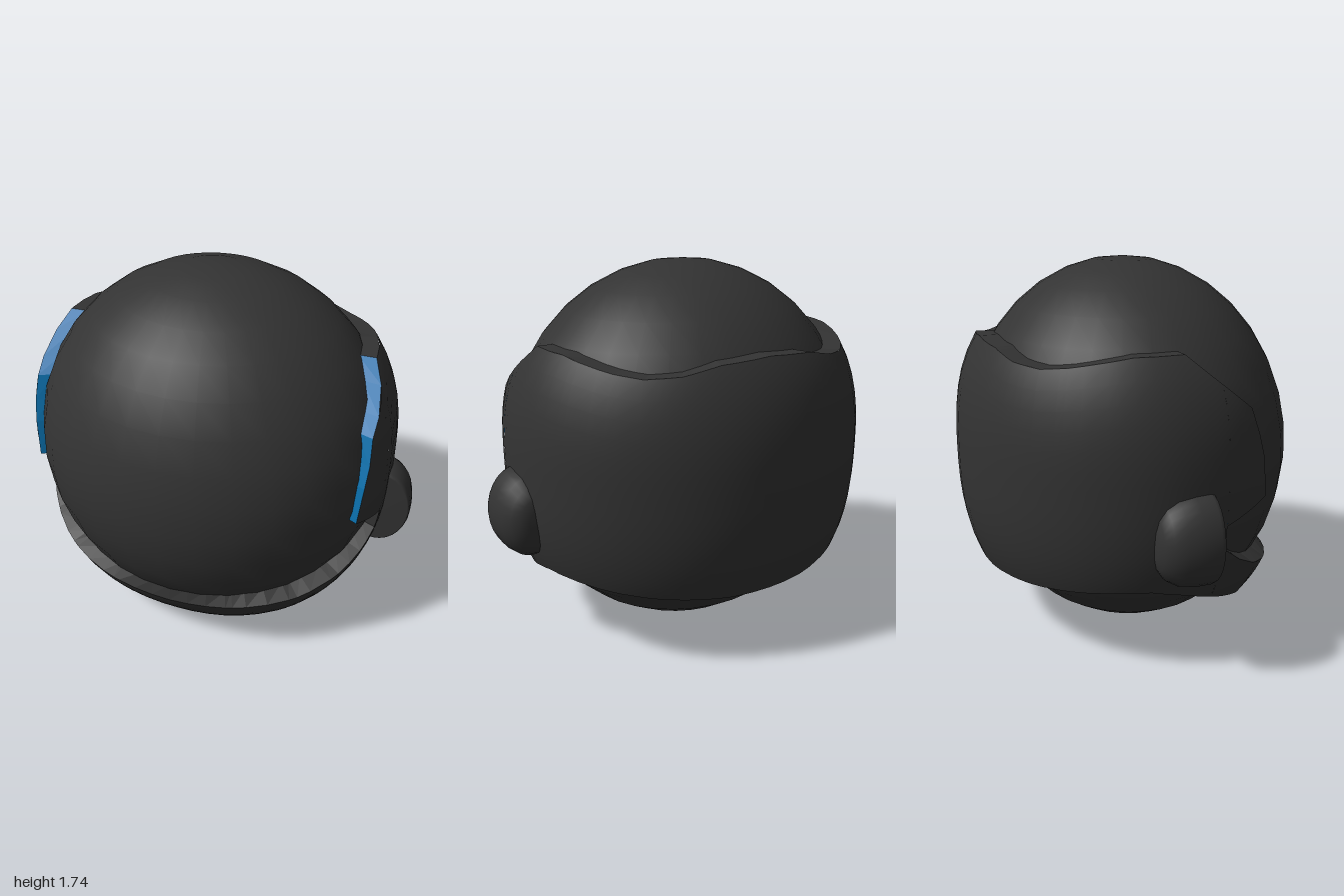
import * as THREE from 'three';

const dark = new THREE.MeshStandardMaterial({ color: 0x333333 });
dark.name = 'charcoal';
const darkThin = new THREE.MeshStandardMaterial({ color: 0x333333, side: THREE.DoubleSide });
darkThin.name = 'charcoal rim';
const blue = new THREE.MeshStandardMaterial({ color: 0x0a6fab, side: THREE.DoubleSide });
blue.name = 'blue trim';

// Outline heights as [angle from the front in degrees, y]
const TOP = [[63.7, 0.77], [65.5, 0.95], [69.8, 1.17], [89, 1.4], [105, 1.395], [125, 1.35], [135, 1.335], [147, 1.345], [160, 1.38], [180, 1.395]];
const BOTTOM = [[0, 0.14], [30, 0.155], [60, 0.23], [75, 0.3], [90, 0.375], [100, 0.412], [110, 0.41], [140, 0.37], [165, 0.345], [180, 0.345]];
const CHIN = [[0, 0.305], [25, 0.325], [48, 0.365], [63, 0.43], [72, 0.5], [79, 0.58]];
const WING = [[63.7, 0.77], [79, 0.69]];
const NOTCH = 79;

const fold = (deg) => (deg > 180 ? 360 - deg : Math.abs(deg));
const along = (table) => (deg) => {
  const a = fold(deg);
  for (let i = 1; i < table.length; i++) {
    const [a0, y0] = table[i - 1], [a1, y1] = table[i];
    if (a <= a1) return y0 + (y1 - y0) * Math.max(0, (a - a0) / (a1 - a0));
  }
  return table[table.length - 1][1];
};
const top = along(TOP), bottom = along(BOTTOM), chin = along(CHIN), wing = along(WING);

// Point on a rounded body, by angle and height
function ring(deg, y, scale, rx, rz, n) {
  const t = THREE.MathUtils.degToRad(deg), s = Math.sin(t), c = Math.cos(t);
  const r = scale / Math.pow(Math.pow(Math.abs(s) / rx, n) + Math.pow(Math.abs(c) / rz, n), 1 / n);
  return new THREE.Vector3(r * s, y, r * c);
}
const isFront = (deg) => fold(deg) < 90;
function outer(deg, y) {
  const t = Math.abs(y - 0.85) / (y > 0.85 ? 0.88 : 0.97);
  return ring(deg, y, Math.sqrt(1 - Math.pow(t, 2.6)), 0.885, isFront(deg) ? 0.775 : 0.79, isFront(deg) ? 2.2 : 2);
}
function inner(deg, y) {
  const t = (y - 0.85) / 0.885;
  return ring(deg, y, 0.98 * Math.sqrt(1 - t * t), 0.86, isFront(deg) ? 0.795 : 0.745, 2);
}

// Angles from a to b in even steps, plus the outline's own corners
function angles(a, b, tables) {
  const set = new Set([a, b]);
  for (let i = Math.ceil(a / 7.5); i * 7.5 < b; i++) set.add(i * 7.5);
  for (const table of tables) for (const [k] of table)
    for (const v of [k, -k, 360 - k]) if (v > a && v < b) set.add(v);
  return [...set].sort((p, q) => p - q);
}

function surface(name, material, positions, normals, index) {
  const g = new THREE.BufferGeometry();
  g.setAttribute('position', new THREE.Float32BufferAttribute(positions, 3));
  g.setIndex(index);
  if (normals) g.setAttribute('normal', new THREE.Float32BufferAttribute(normals, 3));
  else { const flat = g.toNonIndexed(); flat.computeVertexNormals(); g.copy(flat); }
  const mesh = new THREE.Mesh(g, material);
  mesh.name = name;
  return mesh;
}

// Smooth piece of the outer shell between two outlines
function patch(name, degs, low, high, rows) {
  const pos = [], nor = [], idx = [], e = 0.01;
  degs.forEach((d, i) => {
    for (let j = 0; j <= rows; j++) {
      const y = THREE.MathUtils.lerp(low(d), high(d), j / rows);
      const du = outer(d + 1, y).sub(outer(d - 1, y));
      const dv = outer(d, y + e).sub(outer(d, y - e));
      pos.push(...outer(d, y).toArray());
      nor.push(...du.cross(dv).normalize().toArray());
      if (i && j) {
        const b = i * (rows + 1) + j, a = b - rows - 1;
        idx.push(a - 1, b - 1, b, a - 1, b, a);
      }
    }
  });
  return surface(name, dark, pos, nor, idx);
}

// Edge face joining the shell to the dome; points are [angle, outer y, inner y]
function rim(name, material, points) {
  const pos = [], idx = [];
  points.forEach(([d, yo, yi], i) => {
    pos.push(...outer(d, yo).toArray(), ...inner(d, yi).toArray());
    const k = 2 * i;
    if (i) idx.push(k - 2, k, k + 1, k - 2, k + 1, k - 1);
  });
  return surface(name, material, pos, null, idx);
}

function dome() {
  const group = new THREE.Group();
  group.name = 'dome';
  const add = (name, geometry, material, y, z) => {
    const mesh = new THREE.Mesh(geometry, material);
    mesh.name = name;
    mesh.position.set(0, y, z);
    group.add(mesh);
  };
  add('domeSurface', new THREE.SphereGeometry(1, 32, 16, 0, Math.PI * 2, 0, Math.acos(-0.85 / 0.885)).scale(0.86, 0.885, 0.77), dark, 0.85, 0.025);
  add('domeLining', new THREE.SphereGeometry(1, 32, 16, 0, Math.PI * 2, 0, Math.acos(-0.85 / 0.87)).scale(0.817, 0.87, 0.73), darkThin, 0.85, 0.025);
  add('neckRing', new THREE.RingGeometry(0.73, 1, 32).rotateX(Math.PI / 2).scale(0.24, 1, 0.214), darkThin, 0, 0.025);
  return group;
}

// Ear cup: flat in front, rounded behind
function earCup(side) {
  const profile = [[0, -0.155], [0.3, -0.152], [0.55, -0.14], [0.78, -0.11], [0.93, -0.06], [1, 0.01], [1, 0.08], [0.97, 0.097], [0.93, 0.1], [0, 0.1]];
  const g = new THREE.LatheGeometry(profile.map(([r, h]) => new THREE.Vector2(r, h)), 28);
  g.rotateX(Math.PI / 2).scale(0.15, 0.205, 1);
  const mesh = new THREE.Mesh(g, dark);
  mesh.name = side > 0 ? 'leftEarCup' : 'rightEarCup';
  mesh.position.set(side * 0.85, 0.65, 0);
  return mesh;
}

export function createModel() {
  const model = new THREE.Group();
  model.name = 'helmet';
  model.add(dome());

  // Chin guard and back of the shell
  const chinAngles = angles(-NOTCH, NOTCH, [CHIN, BOTTOM]);
  const backAngles = angles(NOTCH, 360 - NOTCH, [TOP, BOTTOM]);
  model.add(patch('chinGuard', chinAngles, bottom, chin, 5));
  model.add(patch('backShell', backAngles, bottom, top, 12));
  model.add(rim('chinRim', darkThin, chinAngles.map((d) => [d, chin(d), chin(d) + 0.015 + 0.065 * (1 - fold(d) / NOTCH)])));
  model.add(rim('bottomRim', darkThin, [...chinAngles, ...backAngles.slice(1)].map((d) => [d, bottom(d), bottom(d) + 0.02])));
  model.add(rim('backRim', darkThin, angles(89, 271, [TOP]).map((d) => [d, top(d), top(d)])));

  // Side wings with blue trim, notch walls and ear cups
  for (const side of [1, -1]) {
    const wingAngles = angles(63.7, NOTCH, [TOP]).map((d) => d * side).sort((a, b) => a - b);
    const trimAngles = angles(63.7, 89, [TOP]).map((d) => d * side);
    model.add(patch('sideWing', wingAngles, wing, top, 8));
    model.add(rim('wingTrim', blue, trimAngles.map((d) => [d, top(d), top(d)])));
    model.add(rim('wingUnderTrim', blue, wingAngles.map((d) => [d, wing(d), wing(d)])));
    model.add(rim('notchWall', darkThin, [0.58, 0.635, 0.69].map((y) => [NOTCH * side, y, y])));
    model.add(earCup(side));
  }
  return model;
}
